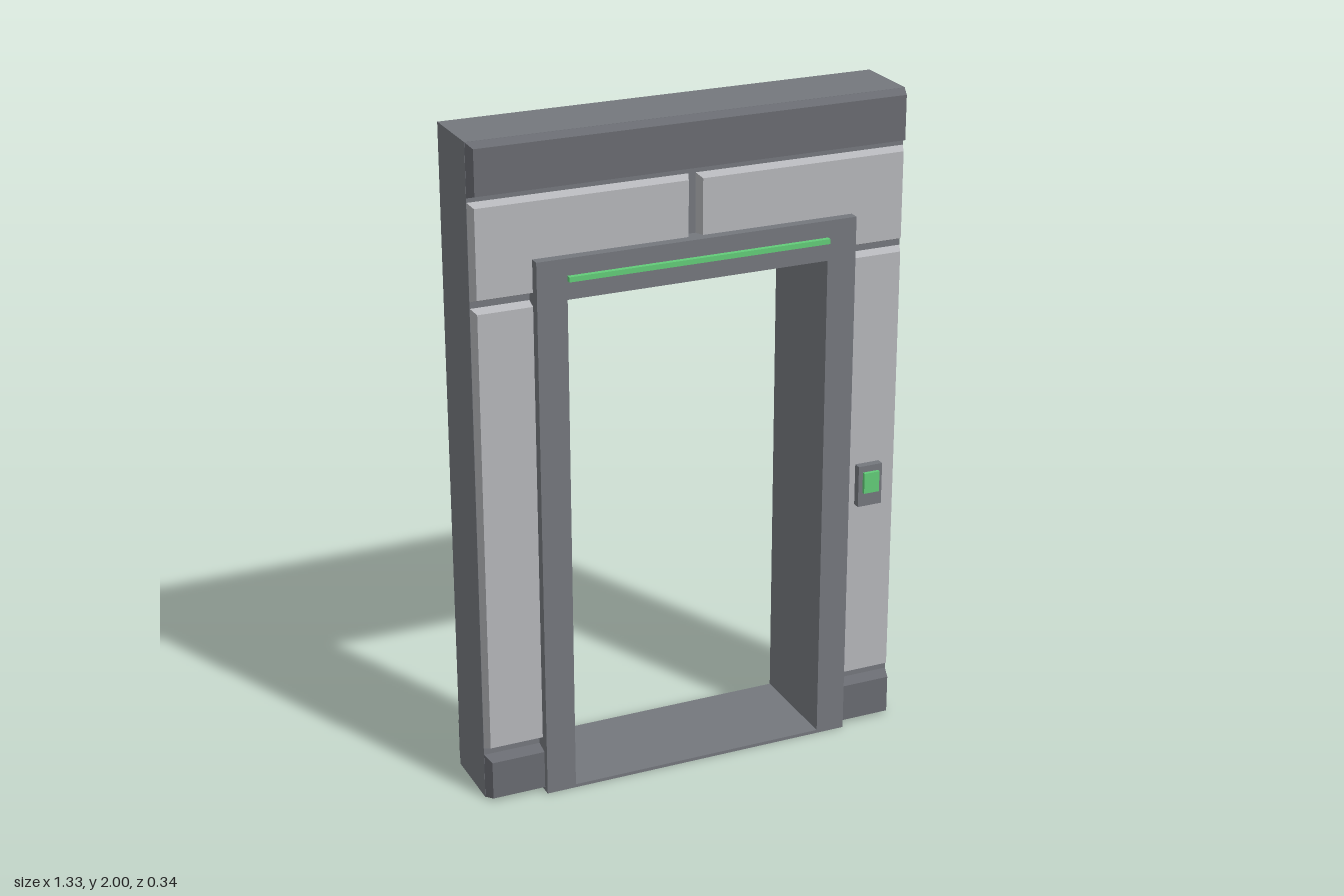
import * as THREE from 'three';

const mats = {
  frame: new THREE.MeshStandardMaterial({ name: 'frame grey', color: 0x74777d }),
  trim: new THREE.MeshStandardMaterial({ name: 'trim grey', color: 0x696b71 }),
  panel: new THREE.MeshStandardMaterial({ name: 'panel light grey', color: 0xb5b6ba }),
  glow: new THREE.MeshStandardMaterial({ name: 'signal green', color: 0x62cc78 }),
};

const HALF_W = 0.665;
const MID_Z = -0.0075;      // middle of the wall's thickness
const CORE = 0.107;         // half thickness of the core

function add(parent, name, geometry, material) {
  const mesh = new THREE.Mesh(geometry, material);
  mesh.name = name;
  parent.add(mesh);
  return mesh;
}

// Box given by its limits
function box(parent, name, material, x0, x1, y0, y1, z0, z1) {
  const mesh = add(parent, name, new THREE.BoxGeometry(x1 - x0, y1 - y0, z1 - z0), material);
  mesh.position.set((x0 + x1) / 2, (y0 + y1) / 2, (z0 + z1) / 2);
  return mesh;
}

// Slab on the core's face whose front is inset to form bevelled sides
function bevelled(parent, name, material, x0, x1, y0, y1, zFront, inset = 0.012) {
  const mesh = box(parent, name, material, x0, x1, y0, y1, CORE - 0.002, zFront);
  const p = mesh.geometry.attributes.position;
  for (let i = 0; i < p.count; i++) {
    if (p.getZ(i) > 0) {
      p.setX(i, p.getX(i) - Math.sign(p.getX(i)) * inset);
      p.setY(i, p.getY(i) - Math.sign(p.getY(i)) * inset);
    }
  }
  mesh.geometry.computeVertexNormals();
  return mesh;
}

// Upright plate with a rectangular opening, centred on the wall's thickness
function ring(halfW, height, holeHalf, holeBottom, holeTop, halfDepth) {
  const shape = new THREE.Shape([
    new THREE.Vector2(-halfW, 0), new THREE.Vector2(halfW, 0),
    new THREE.Vector2(halfW, height), new THREE.Vector2(-halfW, height),
  ]);
  shape.holes.push(new THREE.Path([
    new THREE.Vector2(-holeHalf, holeBottom), new THREE.Vector2(-holeHalf, holeTop),
    new THREE.Vector2(holeHalf, holeTop), new THREE.Vector2(holeHalf, holeBottom),
  ]));
  const g = new THREE.ExtrudeGeometry(shape, { depth: halfDepth * 2, bevelEnabled: false });
  return g.translate(0, 0, MID_Z - halfDepth);
}

// Cladding of one face of the wall
function wallFace(name) {
  const face = new THREE.Group();
  face.name = name;
  bevelled(face, 'topBeam', mats.trim, -HALF_W, HALF_W, 1.843, 2, 0.141);
  for (const s of [-1, 1]) {
    const side = s > 0 ? 'left' : 'right';
    const span = (a, b) => (s > 0 ? [a, b] : [-b, -a]);
    bevelled(face, side + 'Plinth', mats.trim, ...span(0.44, HALF_W), 0, 0.142, 0.145);
    bevelled(face, side + 'LowerPanel', mats.panel, ...span(0.44, HALF_W), 0.162, 1.53, 0.134);
    bevelled(face, side + 'UpperPanel', mats.panel, ...span(0.01, HALF_W), 1.547, 1.832, 0.134);
  }
  face.position.z = MID_Z;
  return face;
}

export function createModel() {
  const model = new THREE.Group();
  model.name = 'doorway';

  // Wall core and the frame lining the opening
  add(model, 'wallCore', ring(HALF_W, 2, 0.44, 0.004, 1.6, CORE), mats.frame);
  add(model, 'doorFrame', ring(0.49, 1.655, 0.4, 0.01, 1.535, 0.1645), mats.frame);

  // Same cladding on both faces
  model.add(wallFace('frontCladding'));
  const back = wallFace('backCladding');
  back.rotation.y = Math.PI;
  model.add(back);

  // Light strip over the opening
  box(model, 'lightStrip', mats.glow, -0.4, 0.4, 1.59, 1.605, 0.15, 0.172);

  // Control beside the door
  const control = new THREE.Group();
  control.name = 'doorControl';
  box(control, 'controlPlate', mats.frame, 0.525, 0.603, 0.737, 0.867, 0.12, 0.15);
  box(control, 'controlButton', mats.glow, 0.539, 0.589, 0.782, 0.847, 0.145, 0.161);
  model.add(control);

  return model;
}
